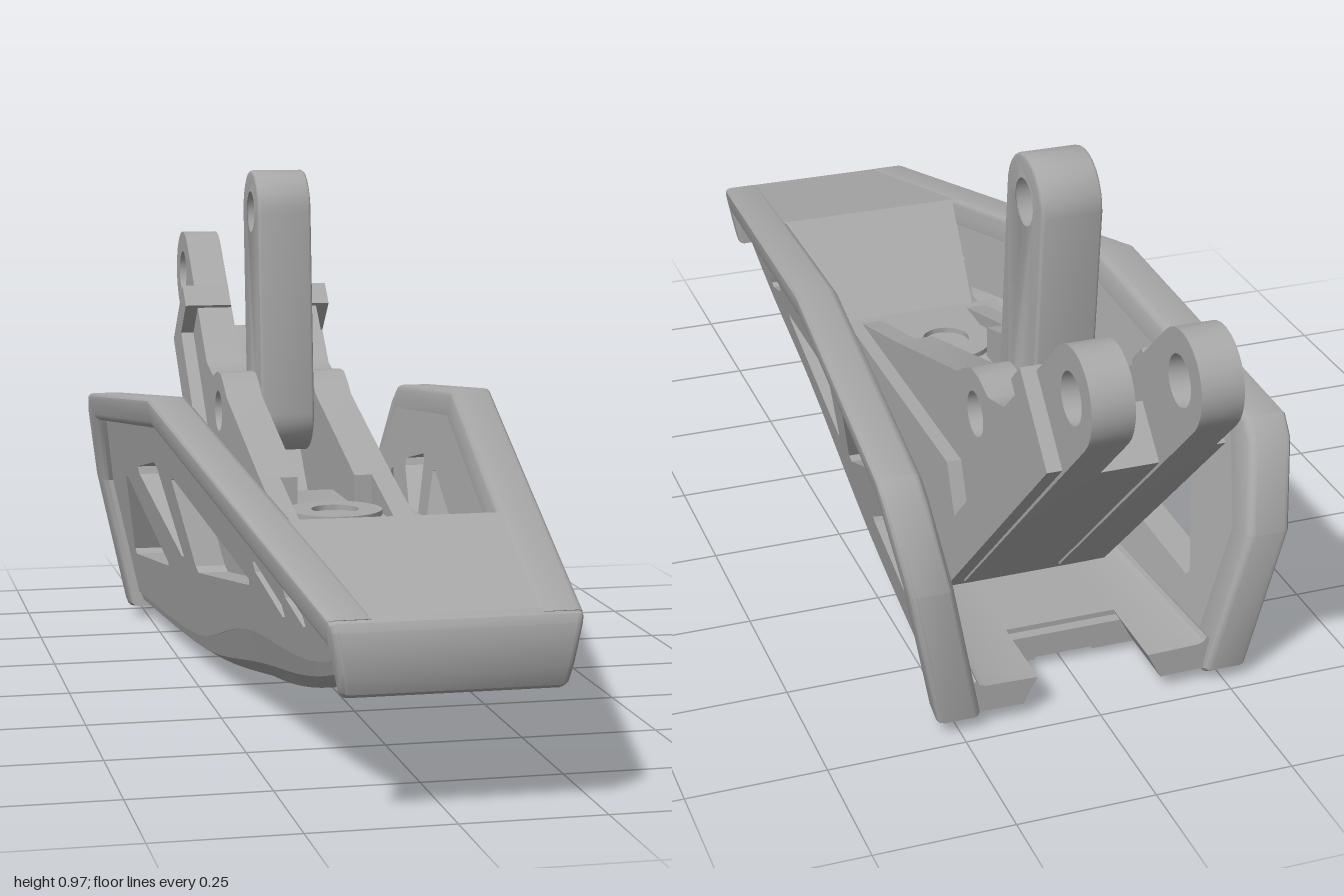
import * as THREE from 'three';
import { toCreasedNormals } from 'three/addons/utils/BufferGeometryUtils.js';

const grey = new THREE.MeshStandardMaterial({ color: 0xa8a8a8, side: THREE.DoubleSide });
grey.name = 'grey';

// points are [z, y]; the profile is extruded along x from x0 to x1
const toVec = (p) => new THREE.Vector2(-p[0], p[1]);

function arc(z, y, r, from, to, steps = 14) {
  return Array.from({ length: steps + 1 }, (_, i) => {
    const a = from + ((to - from) * i) / steps;
    return [z + r * Math.cos(a), y + r * Math.sin(a)];
  });
}
const circle = (z, y, r) => arc(z, y, r, 0, Math.PI * 2, 24).slice(0, -1);

function plate(name, points, holes, x0, x1, bevel = 0, warp = null) {
  const shape = new THREE.Shape(points.map(toVec));
  shape.holes = holes.map((h) => new THREE.Path(h.map(toVec)));
  const geo = new THREE.ExtrudeGeometry(shape, {
    depth: x1 - x0 - 2 * bevel, bevelEnabled: bevel > 0, bevelThickness: bevel,
    bevelSize: bevel, bevelOffset: -bevel, bevelSegments: 3,
  });
  geo.translate(0, 0, x0 + bevel);
  geo.rotateY(Math.PI / 2);
  if (warp) {
    const p = geo.attributes.position;
    for (let i = 0; i < p.count; i++) p.setX(i, warp(p.getX(i), p.getY(i), p.getZ(i)));
  }
  return finish(name, geo);
}

function finish(name, geo) {
  geo.deleteAttribute('normal');
  const mesh = new THREE.Mesh(toCreasedNormals(geo, 0.55), grey);
  mesh.name = name;
  return mesh;
}

// outer half width of the leaning shell sides
const halfWidth = (y, z) => 0.225 + 0.2 * y - 0.084 * z;

// height of the keel and of the rounded lower corner along z
const keel = (z) => (z > -0.145 ? 0.03 + 0.1757 * (z + 0.145) ** 1.7 : 0.03);
const corner = (z) => 0.03 + 0.075 * Math.exp(-(((z - 0.3) / 0.35) ** 2));
const wallFoot = (z) => keel(z) + corner(z);
const rows = Array.from({ length: 32 }, (_, i) => 0.95 - (1.66 * i) / 31);

// curved floor pan with a slot in front and a notch behind
function floorPan() {
  const section = (z) => {
    const b = keel(z), h = corner(z);
    const w = halfWidth(b + h, z) - 0.025;
    const half = [ // outer x, outer y, inner x, inner y
      [0.022, b, 0.022, b + 0.05],
      [0.13, b, 0.104, b + 0.05],
      [w - 0.7 * h, b + 0.08 * h, 0.8 * (w - 0.7 * h), b + 0.08 * h + 0.05],
      [w - 0.2 * h, b + 0.4 * h, 0.8 * (w - 0.2 * h), b + 0.4 * h + 0.045],
      [w, b + h, 0.8 * w, b + h + 0.035],
    ];
    const all = [...half.map(([x, y, u, v]) => [-x, y, -u, v]).reverse(), ...half];
    return all.map(([x, y, u, v]) => [[x, y, z], [u, v, z]]);
  };
  const grid = rows.map(section);
  const cols = grid[0].length - 1;
  const solid = (i, j) => {
    if (i < 0 || j < 0 || i >= rows.length - 1 || j >= cols) return false;
    const z = (rows[i] + rows[i + 1]) / 2;
    if (j === 4 && z > 0.48 && z < 0.8) return false;
    return !(z < -0.56 && j >= 3 && j <= 5);
  };
  const pos = [];
  const quad = (a, b, c, d) => pos.push(...a, ...b, ...c, ...a, ...c, ...d);
  for (let i = 0; i < rows.length - 1; i++) {
    for (let j = 0; j < cols; j++) {
      if (!solid(i, j)) continue;
      const [a, A] = grid[i][j], [b, B] = grid[i + 1][j];
      const [c, C] = grid[i + 1][j + 1], [d, D] = grid[i][j + 1];
      quad(a, b, c, d);
      quad(D, C, B, A);
      if (!solid(i, j - 1)) quad(a, A, B, b);
      if (!solid(i, j + 1)) quad(c, C, D, d);
      if (!solid(i - 1, j)) quad(a, d, D, A);
      if (!solid(i + 1, j)) quad(B, C, c, b);
    }
  }
  const geo = new THREE.BufferGeometry();
  geo.setAttribute('position', new THREE.Float32BufferAttribute(pos, 3));
  return finish('floorPan', geo);
}

export function createModel() {
  const model = new THREE.Group();
  model.name = 'footShell';
  const shell = new THREE.Group();
  shell.name = 'shell';
  const linkage = new THREE.Group();
  linkage.name = 'linkage';
  model.add(shell, linkage);

  // side walls with cut-outs, and the raised rim around them
  const wall = [[0.96, 0.31], [-0.05, 0.53], [-0.65, 0.465], [-0.72, 0.31], [-0.712, 0.16],
    ...[...rows].reverse().map((z) => [z, wallFoot(z)])];
  const cutOuts = [
    [[0.41, 0.293], [0.4, 0.28], [-0.005, 0.225], [-0.02, 0.235], [-0.078, 0.395], [-0.06, 0.4]],
    [[-0.11, 0.237], [-0.19, 0.4], [-0.21, 0.41], [-0.385, 0.375], [-0.38, 0.36], [-0.13, 0.235]],
    [[-0.275, 0.195], [-0.51, 0.335], [-0.53, 0.33], [-0.6, 0.165], [-0.59, 0.155], [-0.28, 0.187]],
    [[0.75, 0.278], [0.745, 0.295], [0.66, 0.328], [0.645, 0.325], [0.65, 0.307], [0.735, 0.274]],
    [[0.62, 0.268], [0.615, 0.287], [0.48, 0.338], [0.463, 0.335], [0.47, 0.317], [0.605, 0.264]],
  ];
  const rim = [[0.985, 0.338], [-0.05, 0.56], [-0.655, 0.493], [-0.69, 0.46], [-0.75, 0.31], [-0.722, 0.03],
    [-0.705, 0.019], [-0.655, 0.028], [-0.685, 0.3], [-0.615, 0.44], [-0.05, 0.5], [0.955, 0.285]];
  for (const side of [1, -1]) {
    const lean = (x, y, z) => x + side * halfWidth(y, z);
    const span = (inner, outer) => (side > 0 ? [-inner, -outer] : [outer, inner]);
    const prefix = side > 0 ? 'left' : 'right';
    shell.add(plate(prefix + 'Wall', wall, cutOuts, ...span(0.079, 0.022), 0, lean));
    shell.add(plate(prefix + 'Rim', rim, [], ...span(0.08, 0), 0.013, lean));
  }
  shell.add(floorPan());

  // solid nose with its ramp, and the lip across the tip
  const nose = [[0.98, 0.338], [0.57, 0.425], [0.24, 0.12], [0.26, 0.1], [0.6, 0.19], [0.95, 0.27]];
  shell.add(plate('nose', nose, [], -1, 1, 0, (x, y, z) => x * (halfWidth(y, z) - 0.06)));
  const lip = [[0.975, 0.34], [0.993, 0.334], [1, 0.32], [0.998, 0.25], [0.985, 0.217], [0.965, 0.208],
    [0.95, 0.215], [0.95, 0.34]];
  shell.add(plate('frontLip', lip, [], -0.2, 0.2, 0.012,
    (x, y, z) => (x / 0.2) * halfWidth(y, z)));

  // inclined arm: stepped cheeks, forked rails and base plates on each side
  const pivot = [-0.455, 0.475];
  const cheek = [[0.235, 0.25], [0.235, 0.345], [-0.38, 0.345], [-0.42, 0.255], [-0.77, 0.605],
    [-0.705, 0.67], [-0.745, 0.71], [-0.874, 0.581], [-0.329, 0.035], [-0.2, 0.035], [-0.1, 0.2]];
  const rail = [[0, 0.405], [-0.36, 0.515], [-0.39, 0.535], [-0.43, 0.555], [-0.47, 0.555], [-0.52, 0.54],
    [-0.6, 0.56], ...arc(-0.905, 0.727, 0.088, Math.PI / 4, Math.PI * 1.25),
    [-0.4, 0.1], [-0.3, 0.2], [0, 0.3]];
  const wedge = [[0.215, 0.335], [0.215, 0.345], [-0.01, 0.408], [-0.01, 0.335]];
  const foot = [[-0.19, 0.028], [-0.25, 0.003], [-0.57, 0.02], [-0.57, 0.07], [-0.19, 0.07]];
  for (const side of [1, -1]) {
    const span = (a, b) => (side > 0 ? [a, b] : [-b, -a]);
    const prefix = side > 0 ? 'left' : 'right';
    linkage.add(plate(prefix + 'Cheek', cheek, [], ...span(0.058, 0.157)));
    linkage.add(plate(prefix + 'ForkRail', rail,
      [circle(...pivot, 0.042), circle(-0.905, 0.727, 0.045)], ...span(0.056, 0.13)));
    linkage.add(plate(prefix + 'RailToe', wedge, [], ...span(0.09, 0.13)));
    linkage.add(plate(prefix + 'BasePlate', foot, [], ...span(0.055, 0.15)));
  }
  const footBridge = [[-0.22, 0.029], [-0.26, 0.016], [-0.57, 0.025], [-0.57, 0.07], [-0.22, 0.07]];
  linkage.add(plate('baseBridge', footBridge, [], -0.055, 0.055));

  // web joining the two cheeks, flush with the underside of the arm
  const web = [[0.235, 0.25], [0.235, 0.345], [-0.2, 0.345], [-0.42, 0.28], [-0.76, 0.62], [-0.837, 0.543],
    [-0.329, 0.035], [-0.2, 0.035], [-0.1, 0.2]];
  linkage.add(plate('armWeb', web, [], -0.058, 0.058));

  // round socket on the front block
  const ring = [[0.045, 0.33], [0.09, 0.33], [0.09, 0.355], [0.045, 0.355], [0.045, 0.33]];
  const socket = finish('socket', new THREE.LatheGeometry(ring.map((p) => new THREE.Vector2(...p)), 32));
  socket.position.z = 0.08;
  linkage.add(socket);

  // upright lever held in the fork
  const lever = [...arc(-0.488, 0.884, 0.085, 0, Math.PI), ...arc(...pivot, 0.085, Math.PI, Math.PI * 2)];
  linkage.add(plate('lever', lever, [circle(-0.488, 0.884, 0.047), circle(...pivot, 0.042)],
    -0.055, 0.055, 0.005));
  return model;
}
